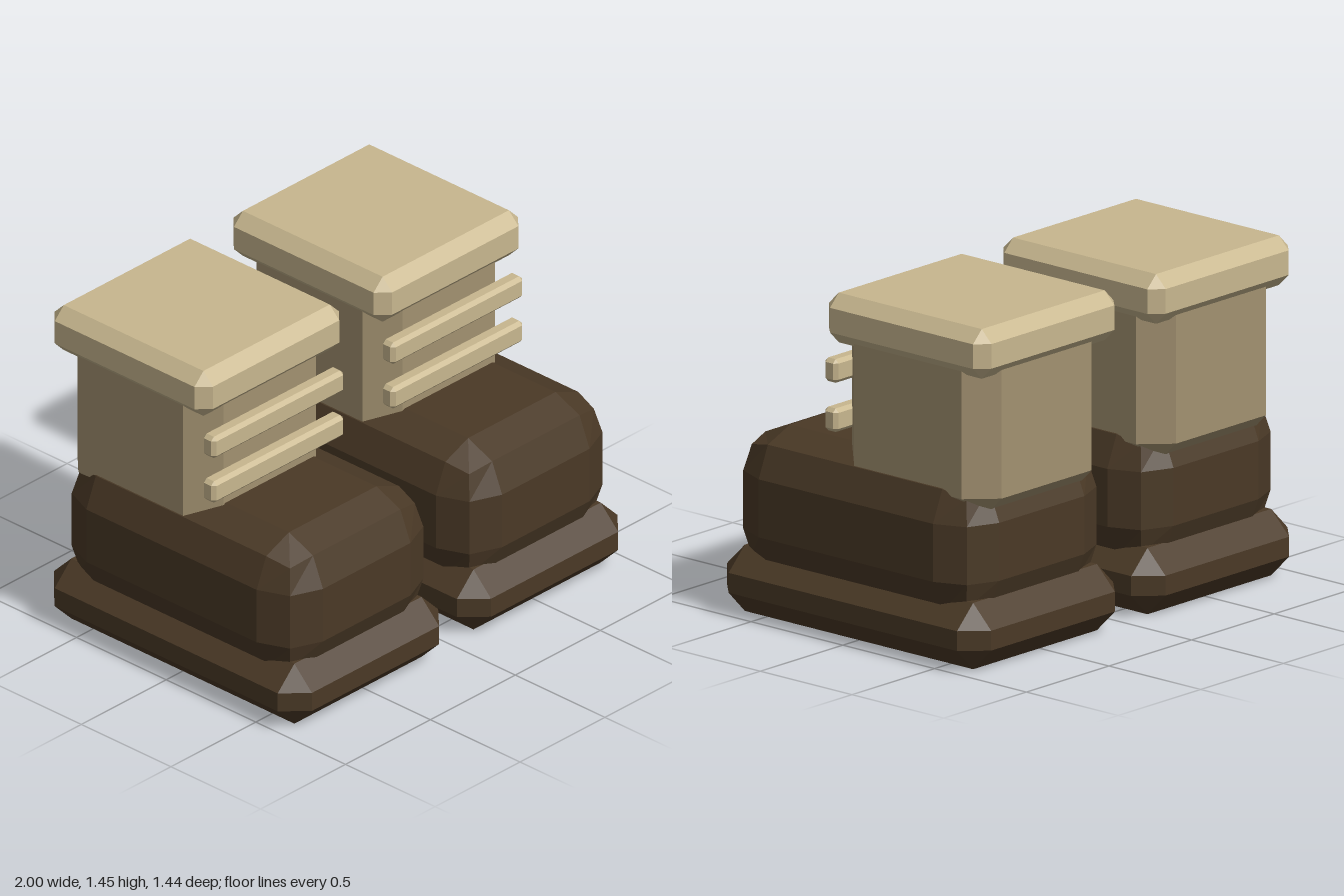
import * as THREE from 'three';
import { ConvexGeometry } from 'three/addons/geometries/ConvexGeometry.js';
import { RoundedBoxGeometry } from 'three/addons/geometries/RoundedBoxGeometry.js';

function material(name, color) {
  const m = new THREE.MeshStandardMaterial({ color, flatShading: true });
  m.name = name;
  return m;
}

// Box with every edge and corner cut by bevel b
function chamferBox(w, h, d, b) {
  const points = [];
  for (const sx of [-1, 1]) for (const sy of [-1, 1]) for (const sz of [-1, 1]) {
    for (let face = 0; face < 3; face++) {
      const cut = [b, b, b];
      cut[face] = 0;
      points.push(new THREE.Vector3(
        sx * (w / 2 - cut[0]), sy * (h / 2 - cut[1]), sz * (d / 2 - cut[2])));
    }
  }
  return new ConvexGeometry(points);
}

export function createModel() {
  const leather = material('dark brown leather', 0x4a3926);
  const cloth = material('tan cloth', 0xa29170);
  const trim = material('pale tan trim', 0xc8b78f);
  const model = new THREE.Group();
  model.name = 'pairOfBoots';

  function createBoot(name) {
    const boot = new THREE.Group();
    boot.name = name;
    function add(partName, geometry, mat, y, z) {
      const mesh = new THREE.Mesh(geometry, mat);
      mesh.name = partName;
      mesh.position.set(0, y, z);
      boot.add(mesh);
    }
    add('sole', chamferBox(0.945, 0.28, 1.44, 0.098), leather, 0.14, 0);
    // Two-step rounded foot
    add('foot', new RoundedBoxGeometry(0.895, 0.625, 1.33, 1, 0.19), leather, 0.477, 0.006);
    add('shaft', chamferBox(0.775, 0.775, 0.815, 0.115), cloth, 0.983, -0.278);
    add('cuff', chamferBox(0.85, 0.21, 0.885, 0.053), trim, 1.34, -0.277);
    // Straps across the front of the shaft
    for (const [label, y] of [['lowerStrap', 0.902], ['upperStrap', 1.11]]) {
      add(label, chamferBox(0.775, 0.1, 0.072, 0.016), trim, y, 0.15);
    }
    return boot;
  }

  for (const [name, side] of [['leftBoot', 1], ['rightBoot', -1]]) {
    const boot = createBoot(name);
    boot.position.x = side * 0.5275;
    model.add(boot);
  }
  return model;
}
